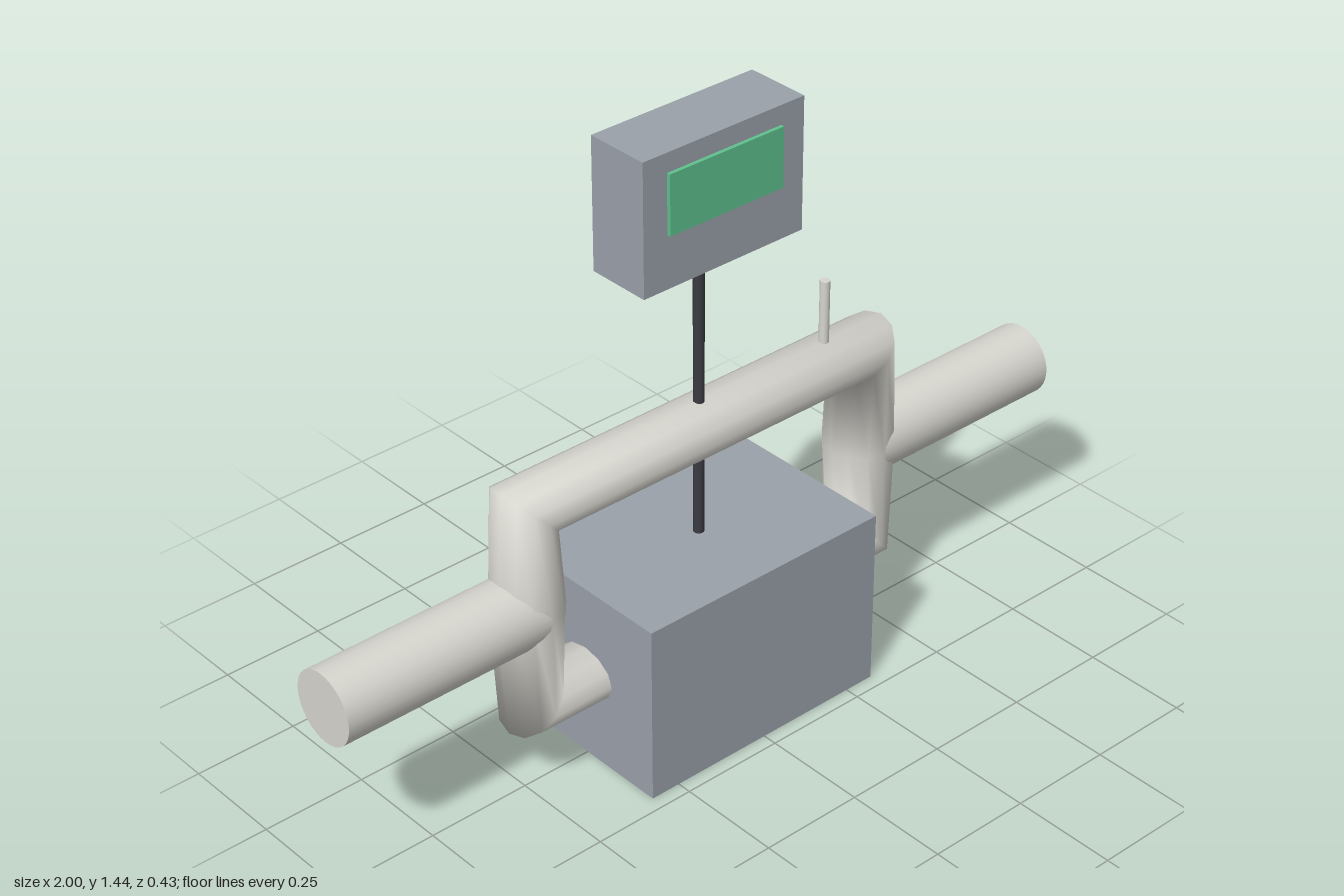
import * as THREE from 'three';

const mat = (name, color) => {
  const m = new THREE.MeshStandardMaterial({ color });
  m.name = name;
  return m;
};

// Closed tube through rings [x, y, outward x, outward y, in-plane radius]
function ringLoop(rings, radius, sides) {
  const pos = [], index = [];
  rings.forEach(([x, y, nx, ny, r], i) => {
    const next = (i + 1) % rings.length;
    for (let j = 0; j < sides; j++) {
      const a = (j / sides) * Math.PI * 2, k = (j + 1) % sides;
      const out = r * Math.cos(a);
      pos.push(x + nx * out, y + ny * out, radius * Math.sin(a));
      const p = i * sides + j, q = next * sides + j;
      const p1 = i * sides + k, q1 = next * sides + k;
      index.push(p, q, q1, p, q1, p1);
    }
  });
  const g = new THREE.BufferGeometry();
  g.setAttribute('position', new THREE.Float32BufferAttribute(pos, 3));
  g.setIndex(index);
  g.computeVertexNormals();
  return g;
}

export function createModel() {
  const model = new THREE.Group();
  model.name = 'handheldDetector';
  const grey = mat('housing grey', 0x9ba1aa);
  const pale = mat('tube off-white', 0xd6d5ce);
  const dark = mat('rod charcoal', 0x3a3a42);
  const green = mat('screen green', 0x5fc08e);

  const add = (name, geometry, material, x, y, z) => {
    const mesh = new THREE.Mesh(geometry, material);
    mesh.name = name;
    mesh.position.set(x, y, z);
    model.add(mesh);
    return mesh;
  };

  // Lower housing, display housing and screen
  add('baseBox', new THREE.BoxGeometry(0.648, 0.436, 0.432), grey, 0, 0.218, 0);
  add('displayBox', new THREE.BoxGeometry(0.432, 0.31, 0.156), grey, 0, 1.287, 0);
  add('screen', new THREE.BoxGeometry(0.306, 0.14, 0.009), green, 0, 1.327, 0.0825);

  // Central rod and short antenna
  add('rod', new THREE.CylinderGeometry(0.0125, 0.0125, 0.69, 16), dark, 0, 0.768, 0);
  add('antenna', new THREE.CylinderGeometry(0.0115, 0.0115, 0.22, 16), pale, 0.363, 0.81, 0);

  // Frame: mitred corners, full section halfway up each upright
  const X = 0.477, LOW = 0.221, MID = 0.465, HIGH = 0.708, R = 0.0855, D = Math.SQRT1_2;
  add('frame', ringLoop([
    [X, LOW, D, -D, R], [X, MID, 1, 0, 0.081], [X, HIGH, D, D, R],
    [-X, HIGH, -D, D, R], [-X, MID, -1, 0, 0.081], [-X, LOW, -D, -D, R],
  ], R, 12), pale, 0, 0, 0);

  // Side grips
  for (const s of [-1, 1]) {
    const grip = add(s > 0 ? 'leftGrip' : 'rightGrip',
      new THREE.CylinderGeometry(0.0855, 0.0855, 0.523, 32), pale, s * 0.7385, 0.465, 0);
    grip.rotation.z = Math.PI / 2;
  }
  return model;
}
